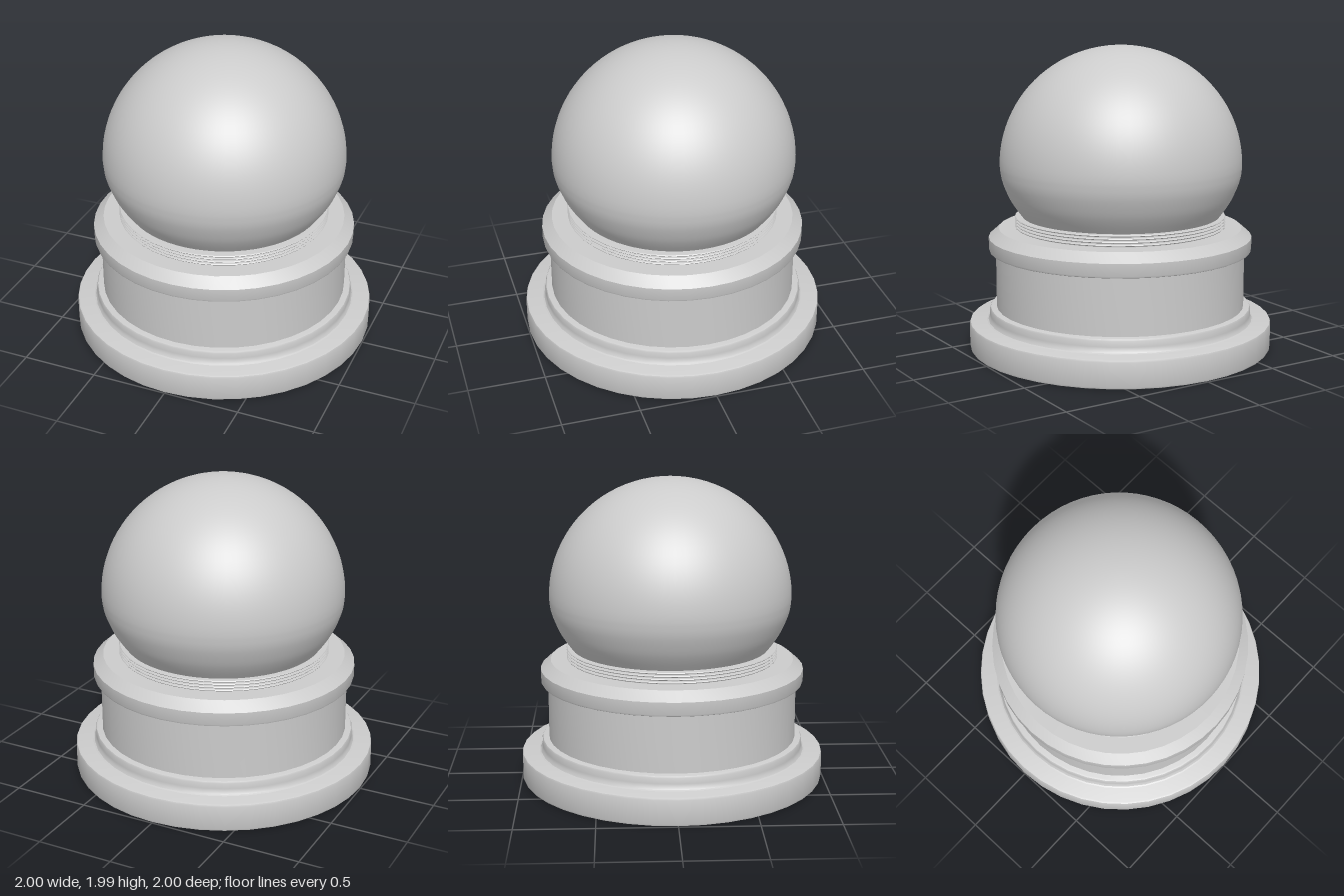
import * as THREE from 'three';
import { toCreasedNormals } from 'three/addons/utils/BufferGeometryUtils.js';

const material = new THREE.MeshStandardMaterial({ color: 0xcccccc });

// Revolve a [radius, height] profile listed from bottom to top
function turned(name, profile, segments, crease = 0.5) {
  const points = profile.map(([r, y]) => new THREE.Vector2(r, y));
  const geometry = toCreasedNormals(new THREE.LatheGeometry(points, segments), crease);
  const mesh = new THREE.Mesh(geometry, material);
  mesh.name = name;
  return mesh;
}

export function createModel() {
  const group = new THREE.Group();
  group.name = 'snowGlobe';

  // Wide foot with softened edges
  group.add(turned('foot', [
    [0, 0], [0.985, 0], [0.996, 0.005], [1, 0.016],
    [1, 0.169], [0.996, 0.18], [0.985, 0.185], [0, 0.185],
  ], 40));

  // Stepped moulding above the foot
  group.add(turned('lowerMoulding', [
    [0.89, 0.183], [0.877, 0.19], [0.868, 0.205], [0.865, 0.225],
    [0.865, 0.262], [0.86, 0.272], [0.85, 0.276], [0, 0.276],
  ], 40));

  // Plain drum
  group.add(turned('drum', [[0.82, 0.27], [0.82, 0.66]], 40));

  // Chamfered collar
  group.add(turned('collar', [
    [0, 0.65], [0.853, 0.65], [0.862, 0.654], [0.866, 0.664],
    [0.866, 0.742], [0.8, 0.8], [0, 0.8],
  ], 40));

  // Threaded neck: a core with stacked ribs
  const neck = [[0.67, 0.795]];
  for (let i = 0; i < 4; i++) {
    const y = 0.806 + i * 0.02;
    neck.push([0.67, y], [0.69, y + 0.002], [0.694, y + 0.007], [0.69, y + 0.012], [0.67, y + 0.014]);
  }
  neck.push([0, 0.88]);
  group.add(turned('neck', neck, 40));

  // Glass ball: round above its widest line, tapering into the neck below
  const lower = new THREE.SplineCurve([
    [0.64, 0.868], [0.653, 0.885], [0.7, 0.95], [0.74, 1.02], [0.78, 1.125], [0.792, 1.215],
  ].map(([r, y]) => new THREE.Vector2(r, y)));
  const ball = lower.getPoints(16).map((p) => [p.x, p.y]);
  for (let i = 1; i <= 24; i++) {
    const a = (i / 24) * Math.PI / 2;
    ball.push([i === 24 ? 0 : 0.792 * Math.cos(a), 1.215 + 0.775 * Math.sin(a)]);
  }
  const globe = turned('globe', ball, 64, 1);
  globe.position.z = -0.01;
  group.add(globe);

  return group;
}
